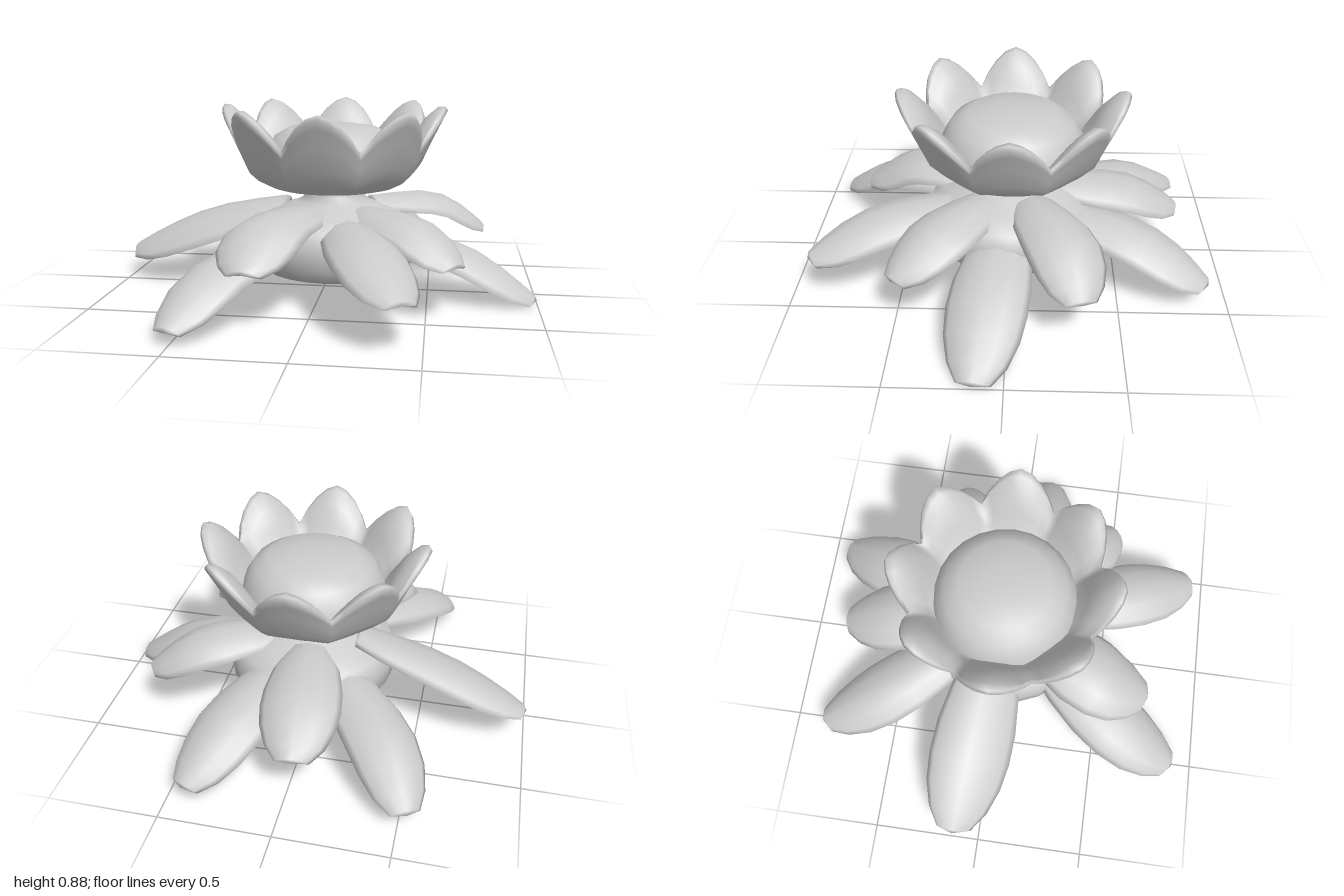
import * as THREE from 'three';
import { mergeVertices } from 'three/addons/utils/BufferGeometryUtils.js';

const grey = new THREE.MeshStandardMaterial({ color: 0xcccccc, side: THREE.DoubleSide });
const CX = 0.04, CZ = -0.01; // axis of the flower

// Welds seams so the normals run smoothly all round
function weld(g) {
  const welded = mergeVertices(g, 1e-4);
  welded.computeVertexNormals();
  return welded;
}

function lathe(points, segments, move) {
  const g = new THREE.LatheGeometry(points.map(p => new THREE.Vector2(...p)), segments);
  g.deleteAttribute('uv');
  g.deleteAttribute('normal');
  if (move) move(g.attributes.position);
  return weld(g);
}

// Drooping petal: lens sections, arched crosswise, swept from root to tip
function petalGeometry(rootY, mid, tip, halfWidth, tilt = 0) {
  const m = new THREE.Vector3(...mid);
  const root = new THREE.Vector3(CX + (m.x - CX) * 0.35, rootY, CZ + (m.z - CZ) * 0.35);
  const curve = new THREE.CatmullRomCurve3([root, m, new THREE.Vector3(...tip)]);
  const up = new THREE.Vector3(0, 1, 0);
  // [distance along, width factor]
  const stations = [[0, 0], [0.02, 0.65], [0.2, 0.85], [0.4, 0.98], [0.58, 1],
    [0.74, 0.92], [0.88, 0.72], [0.98, 0.42], [1, 0]];
  const sides = 12, pos = [], index = [];
  stations.forEach(([t, f], i) => {
    const p = curve.getPointAt(t), along = curve.getTangentAt(t);
    const side = along.clone().cross(up).normalize();
    const normal = side.clone().cross(along);
    for (let j = 0; j < sides; j++) {
      const a = j / sides * Math.PI * 2, c = Math.cos(a);
      const lift = f * (0.03 * Math.sin(a) - 0.06 * c * c + tilt * c * halfWidth);
      const v = p.clone().addScaledVector(side, c * f * halfWidth).addScaledVector(normal, lift);
      pos.push(v.x, v.y, v.z);
      if (i === stations.length - 1) continue;
      const k = i * sides + j, n = i * sides + (j + 1) % sides;
      index.push(k, k + sides, n, n, k + sides, n + sides);
    }
  });
  const g = new THREE.BufferGeometry();
  g.setAttribute('position', new THREE.Float32BufferAttribute(pos, 3));
  g.setIndex(index);
  return weld(g);
}

// Cup profile: outer wall up to the rim, then the fleshy inner wall
const cupOuter = [[0, 0.495], [0.26, 0.495], [0.3, 0.505], [0.37, 0.56], [0.425, 0.63],
  [0.475, 0.74], [0.515, 0.82], [0.535, 0.86], [0.525, 0.88]];
const cupInner = [[0.49, 0.877], [0.43, 0.825], [0.375, 0.74], [0.335, 0.65], [0.28, 0.6], [0, 0.58]];
const cupProfile = [...cupOuter, ...cupInner];

// Pulls the rim of the cup into eight upright petals, thick in the middle, thin between
function scallop(position) {
  for (let i = 0; i < position.count; i++) {
    const x = position.getX(i), y = position.getY(i), z = position.getZ(i);
    const a = Math.atan2(x, z) / (Math.PI / 4);
    const off = Math.min(1, Math.abs(a - Math.round(a)) * 2);
    const valley = Math.pow(off, 1.6);
    const t = Math.max(0, (y - 0.5) / 0.38);
    const inner = i % cupProfile.length >= cupOuter.length;
    const r = 1 - (inner ? 0.085 : 0.16) * valley * t;
    position.setXYZ(i, x * r, y - 0.45 * valley * t * 0.38, z * r);
  }
}

export function createModel() {
  const group = new THREE.Group();
  const add = (name, geometry, x = 0, z = 0) => {
    const mesh = new THREE.Mesh(geometry, grey);
    mesh.name = name;
    mesh.position.set(x, 0, z);
    group.add(mesh);
  };

  // Rounded base with sloping shoulders and a narrow neck
  add('base', lathe([[0, 0.07], [0.18, 0.075], [0.34, 0.11], [0.395, 0.17], [0.405, 0.27],
    [0.375, 0.34], [0.3, 0.385], [0.18, 0.425], [0.13, 0.46], [0.15, 0.51]], 24), CX + 0.01);

  add('petalCup', lathe(cupProfile, 64, scallop), CX, CZ);

  // Domed seed head inside the cup
  add('seedHead', lathe([[0.34, 0.58], [0.325, 0.66], [0.28, 0.735], [0.21, 0.775],
    [0.1, 0.792], [0, 0.795]], 24), CX, CZ);

  // Lower petals: root height, middle, tip, half width, sideways tilt
  const petals = [
    [0.41, [-0.6, 0.305, -0.08], [-1.0, 0.13, -0.12], 0.19, 0.25],
    [0.32, [-0.4, 0.24, -0.58], [-0.54, 0.09, -0.85], 0.16],
    [0.41, [-0.02, 0.37, -0.56], [-0.04, 0.24, -0.81], 0.18],
    [0.33, [0.29, 0.27, -0.62], [0.42, 0.1, -0.91], 0.17],
    [0.42, [0.53, 0.4, -0.25], [0.77, 0.25, -0.32], 0.17],
    [0.3, [0.65, 0.22, 0.08], [1.0, 0.01, 0.13], 0.18],
    [0.41, [0.46, 0.38, 0.34], [0.63, 0.25, 0.5], 0.17],
    [0.37, [0.27, 0.34, 0.6], [0.42, 0.21, 0.91], 0.17],
    [0.42, [-0.2, 0.4, 0.46], [-0.24, 0.25, 0.73], 0.19],
    [0.33, [-0.4, 0.23, 0.62], [-0.52, 0.055, 0.9], 0.17],
  ];
  petals.forEach((p, i) => add(`lowerPetal${i + 1}`, petalGeometry(...p)));

  return group;
}
